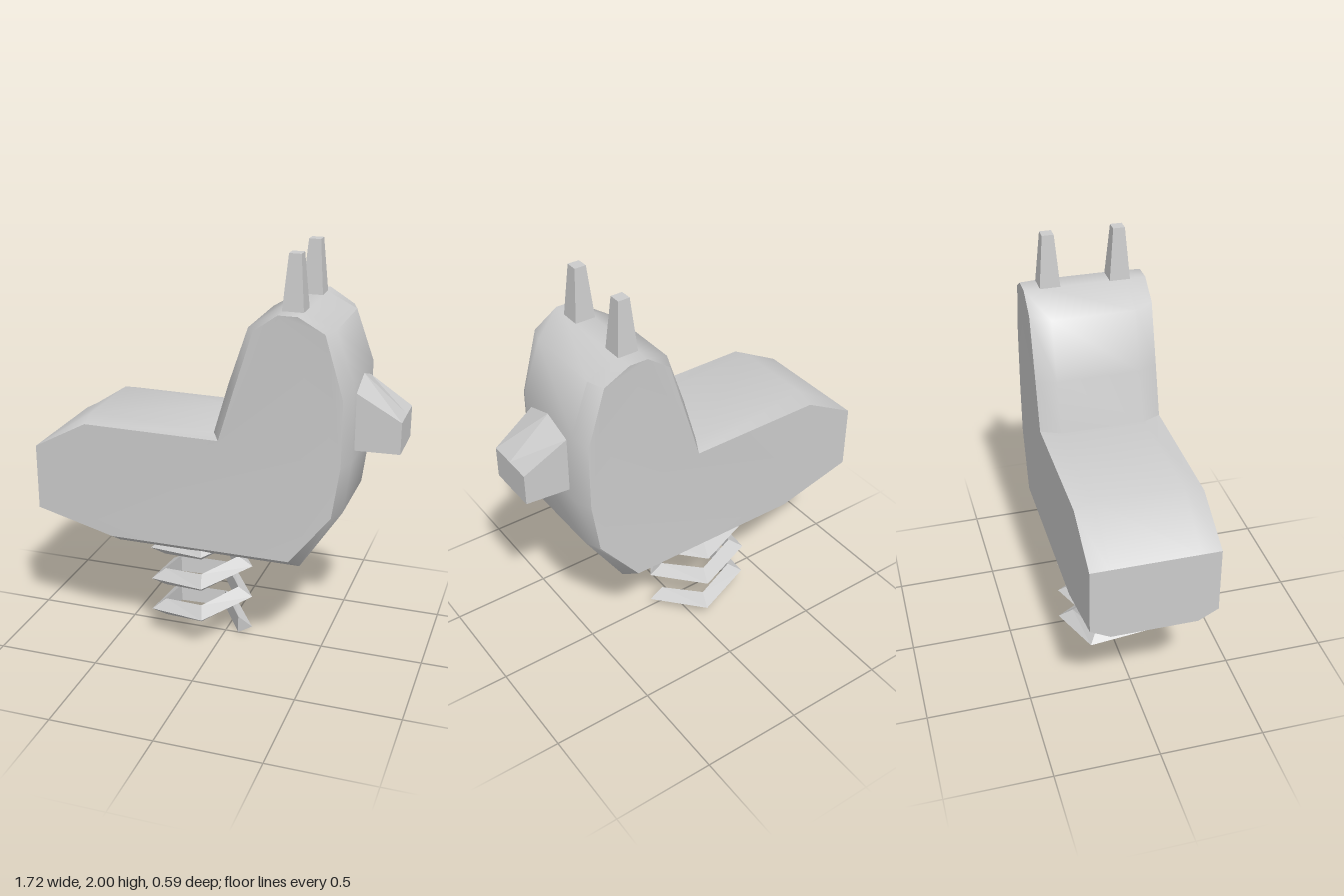
import * as THREE from 'three';
import { toCreasedNormals } from 'three/addons/utils/BufferGeometryUtils.js';

const grey = new THREE.MeshStandardMaterial({ color: 0xcccccc });
const faceted = new THREE.MeshStandardMaterial({ color: 0xcccccc, flatShading: true });

// Skins a list of rings of [x, y, z] points and closes both ends;
// section is the counter-clockwise 2D outline used to fill the ends.
function loft(rings, section) {
  const n = section.length, last = (rings.length - 1) * n, index = [];
  for (let r = 0; r < rings.length - 1; r++) {
    for (let i = 0; i < n; i++) {
      const a = r * n + i, b = r * n + (i + 1) % n;
      index.push(a, a + n, b, b, a + n, b + n);
    }
  }
  const outline = section.map(([u, v]) => new THREE.Vector2(u, v));
  for (const [a, b, c] of THREE.ShapeUtils.triangulateShape(outline, [])) {
    index.push(a, b, c, last + a, last + c, last + b);
  }
  const geo = new THREE.BufferGeometry();
  geo.setAttribute('position', new THREE.Float32BufferAttribute(rings.flat(2), 3));
  geo.setIndex(index);
  geo.computeVertexNormals();
  return geo;
}

function addMesh(group, name, geo, material) {
  const mesh = new THREE.Mesh(geo, material);
  mesh.name = name;
  group.add(mesh);
  return mesh;
}

// Body: flat side outline, with a larger outline further in for the bevel
function bodyGeometry() {
  const side = [
    [-0.86, 0.69], [-0.48, 0.59], [0.40, 0.59], [0.59, 0.83], [0.625, 1.08], [0.625, 1.39], [0.54, 1.68],
    [0.42, 1.75], [0.33, 1.75], [0.22, 1.67], [0.13, 1.38], [0.06, 1.145], [-0.6, 1.15], [-0.86, 1.01],
  ];
  const middle = [
    [-0.86, 0.64], [-0.48, 0.53], [0.43, 0.53], [0.625, 0.83], [0.657, 1.08], [0.657, 1.44], [0.57, 1.68],
    [0.43, 1.75], [0.33, 1.75], [0.17, 1.66], [0.08, 1.39], [0.01, 1.15], [-0.6, 1.18], [-0.86, 1.01],
  ];
  // the sides narrow slightly towards the chest
  const edge = (s) => side.map(([x, y]) => [x, y, s * (0.293 - 0.1 * Math.max(0, x - 0.44))]);
  const inner = (z) => middle.map(([x, y]) => [x, y, z]);
  return toCreasedNormals(loft([edge(1), inner(0.2), inner(-0.2), edge(-1)], side), 0.88);
}

// Beak: hexagon tapering to a blunt rectangular tip
function beakGeometry() {
  const hexagon = (w, low, bottom, top, high) =>
    [[0, low], [w, bottom], [w, top], [0, high], [-w, top], [-w, bottom]];
  const tip = hexagon(0.125, 1.114, 1.115, 1.265, 1.266);
  const base = hexagon(0.15, 1.07, 1.12, 1.39, 1.44);
  const ring = (x, pts) => pts.map(([u, y]) => [x, y, -u]);
  return loft([ring(0.86, tip), ring(0.656, base), ring(0.62, base)], tip);
}

// Spring: triangular section wound in five-sided turns
function springGeometry() {
  const section = [[0.263, 0.045], [0.19, 0.09], [0.19, 0]];
  const rings = [];
  for (let i = 0; i <= 15; i++) {
    const a = (i / 5) * Math.PI * 2;
    rings.push(section.map(([r, y]) => [-0.123 + r * Math.cos(a), y + 0.034 * i, -r * Math.sin(a)]));
  }
  return loft(rings, section);
}

export function createModel() {
  const group = new THREE.Group();
  group.name = 'springRider';
  addMesh(group, 'body', bodyGeometry(), grey);
  addMesh(group, 'beak', beakGeometry(), faceted);
  addMesh(group, 'spring', springGeometry(), faceted);

  // Upright tapered square handles on top of the head
  const handle = new THREE.CylinderGeometry(0.028 * Math.SQRT2, 0.05 * Math.SQRT2, 0.26, 4);
  handle.rotateY(Math.PI / 4);
  for (const [name, s] of [['frontHandle', 1], ['backHandle', -1]]) {
    addMesh(group, name, handle, faceted).position.set(0.377, 1.87, s * 0.168);
  }
  return group;
}
